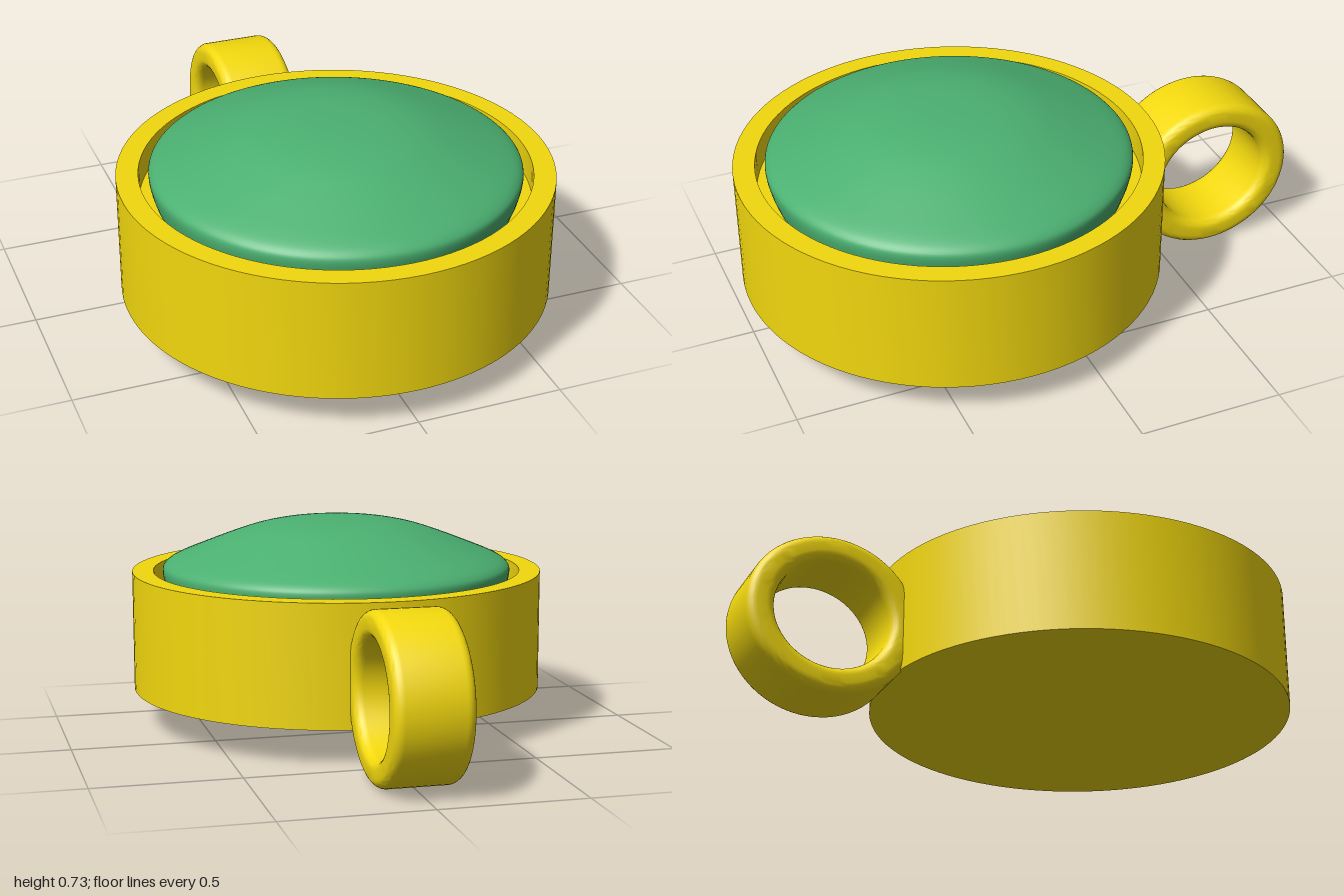
import * as THREE from 'three';
import { toCreasedNormals } from 'three/addons/utils/BufferGeometryUtils.js';

const gold = new THREE.MeshStandardMaterial({ color: 0xf2d80e });
const green = new THREE.MeshStandardMaterial({ color: 0x4bb071 });
const DISC_Z = 0.265;

const v = (x, y) => new THREE.Vector2(x, y);

function addMesh(group, name, geometry, material) {
  const mesh = new THREE.Mesh(geometry, material);
  mesh.name = name;
  group.add(mesh);
  return mesh;
}

// Round case with a shallow recess for the stone
function caseGeometry() {
  const profile = [v(0, 0.125), v(0.735, 0.125), v(0.735, 0.55), v(0.66, 0.55), v(0.66, 0.45), v(0, 0.45)];
  return toCreasedNormals(new THREE.LatheGeometry(profile, 96), 0.6);
}

// Domed stone with a rolled edge
function stoneGeometry() {
  const curve = new THREE.SplineCurve([
    v(0.6, 0.45), v(0.617, 0.5), v(0.626, 0.55), v(0.615, 0.575), v(0.58, 0.597), v(0.5, 0.63),
    v(0.4, 0.669), v(0.3, 0.703), v(0.2, 0.724), v(0.1, 0.733), v(0, 0.735),
  ]);
  const profile = curve.getPoints(40);
  profile[40].x = 0;
  return new THREE.LatheGeometry(profile, 96);
}

// Wide band with rounded edges, swept around the x axis
function bailGeometry() {
  const inner = 0.203, outer = 0.3, half = 0.132, r = 0.034;
  const profile = [];
  const corners = [
    [inner + r, -half + r, Math.PI],
    [outer - r, -half + r, Math.PI * 1.5],
    [outer - r, half - r, 0],
    [inner + r, half - r, Math.PI / 2],
  ];
  for (const [cx, cy, start] of corners) {
    for (let i = 0; i <= 6; i++) {
      const a = start + (i / 6) * Math.PI / 2;
      profile.push(v(cx + r * Math.cos(a), cy + r * Math.sin(a)));
    }
  }
  profile.push(profile[0].clone());
  const geometry = new THREE.LatheGeometry(profile, 72);
  geometry.rotateZ(Math.PI / 2);
  geometry.scale(1, 0.945, 1); // slightly flattened hoop
  return toCreasedNormals(geometry, 0.6);
}

export function createModel() {
  const group = new THREE.Group();
  group.name = 'pendant';
  addMesh(group, 'case', caseGeometry(), gold).position.z = DISC_Z;
  addMesh(group, 'stone', stoneGeometry(), green).position.z = DISC_Z;
  addMesh(group, 'hangingLoop', bailGeometry(), gold).position.set(0, 0.284, -0.7);
  return group;
}
